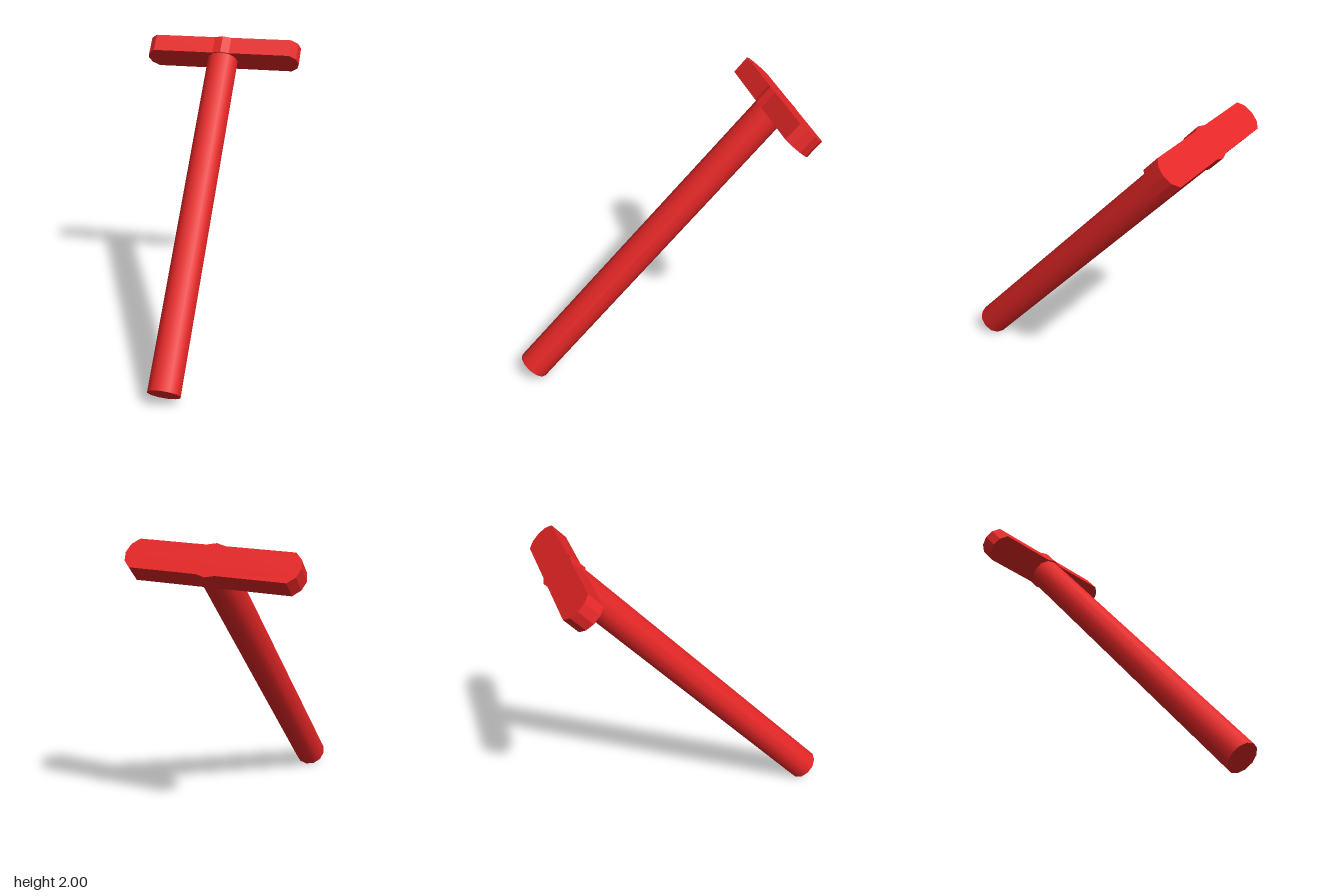
import * as THREE from 'three';

const LENGTH = 2.497;   // along the leaning axis
const HEAD = 0.125;     // thickness of the crossbar

export function createModel() {
  const red = new THREE.MeshStandardMaterial({ color: 0xe52626 });
  const flatRed = new THREE.MeshStandardMaterial({ color: 0xe52626, flatShading: true });
  const model = new THREE.Group();
  model.name = 'leaningTee';

  // Everything is built upright, then leaned back
  const tee = new THREE.Group();
  tee.name = 'tee';
  tee.position.set(0, 0.072, 0.843);
  tee.rotation.x = -0.738;
  model.add(tee);

  // Round shaft
  const shaftLength = LENGTH - HEAD;
  const shaft = new THREE.Mesh(new THREE.CylinderGeometry(0.107, 0.107, shaftLength, 12), red);
  shaft.name = 'shaft';
  shaft.position.y = shaftLength / 2;
  tee.add(shaft);

  // Crossbar outline: faceted ends and a shallow peak in the middle of each side
  const quarter = [[0.536, 0], [0.521, 0.058], [0.478, 0.1005], [0.058, 0.1005], [0, 0.116]];
  const half = [...quarter, ...quarter.slice(0, -1).reverse().map(([x, y]) => [-x, y])];
  const outline = [...half, ...half.slice(1, -1).reverse().map(([x, y]) => [x, -y])];
  const shape = new THREE.Shape(outline.map(([x, y]) => new THREE.Vector2(x, y)));
  const barGeometry = new THREE.ExtrudeGeometry(shape, { depth: HEAD, bevelEnabled: false });
  barGeometry.rotateX(-Math.PI / 2);
  const crossbar = new THREE.Mesh(barGeometry, flatRed);
  crossbar.name = 'crossbar';
  crossbar.position.y = shaftLength;
  tee.add(crossbar);

  return model;
}
